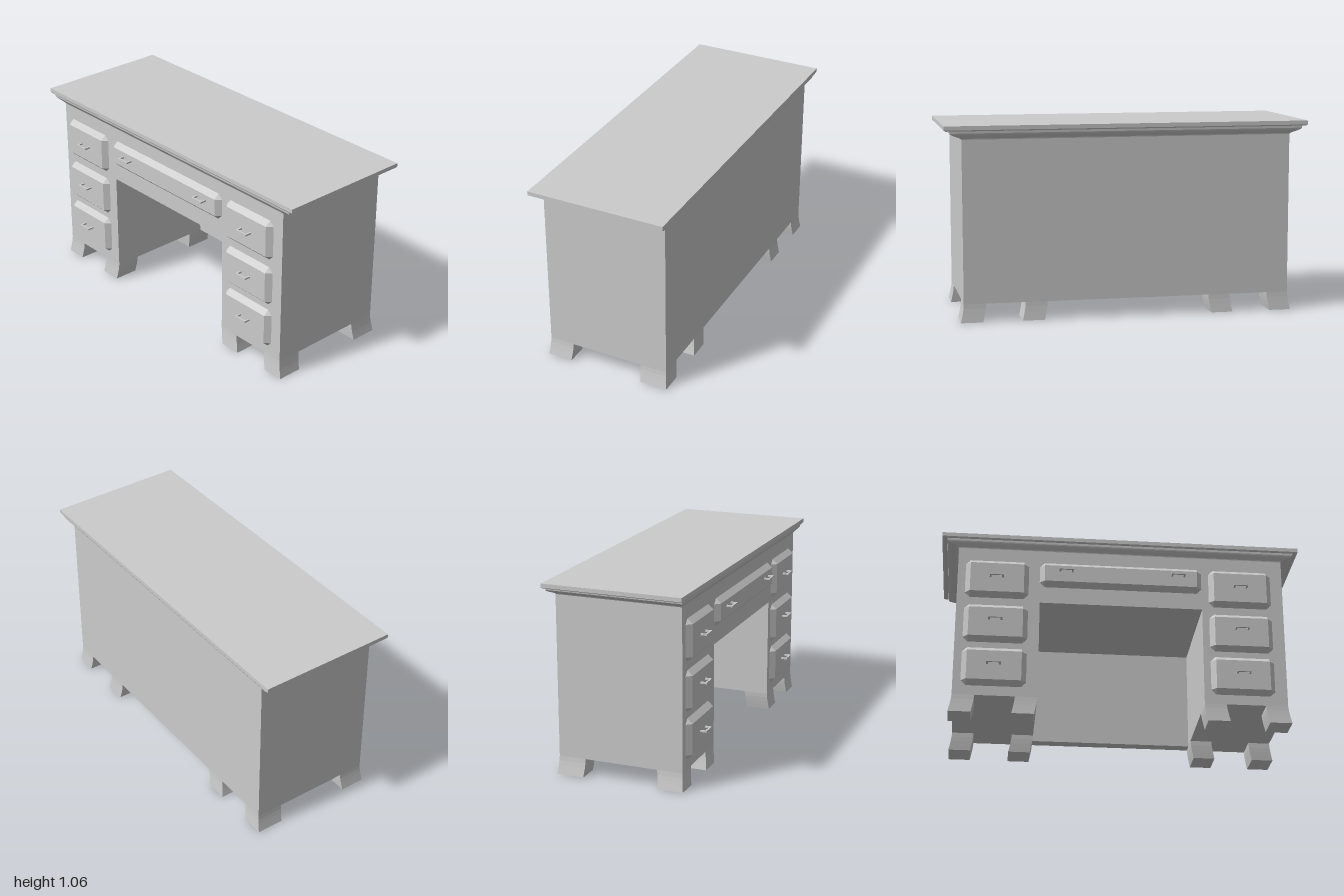
import * as THREE from 'three';

const material = new THREE.MeshStandardMaterial({ color: 0xcccccc, flatShading: true });

function add(parent, name, geometry, x = 0, y = 0, z = 0) {
  const mesh = new THREE.Mesh(geometry, material);
  mesh.name = name;
  mesh.position.set(x, y, z);
  parent.add(mesh);
  return mesh;
}

// Skin a closed solid through equal-sized rings, each counter-clockwise about the direction of travel
function loft(rings) {
  const pos = [];
  const tri = (...pts) => pts.forEach((p) => pos.push(...p));
  const n = rings[0].length;
  for (let i = 0; i < rings.length - 1; i++) {
    for (let j = 0; j < n; j++) {
      const k = (j + 1) % n;
      tri(rings[i][j], rings[i][k], rings[i + 1][k]);
      tri(rings[i][j], rings[i + 1][k], rings[i + 1][j]);
    }
  }
  const first = rings[0], last = rings[rings.length - 1];
  for (let j = 1; j < n - 1; j++) {
    tri(first[0], first[j + 1], first[j]);
    tri(last[0], last[j], last[j + 1]);
  }
  const geometry = new THREE.BufferGeometry();
  geometry.setAttribute('position', new THREE.Float32BufferAttribute(pos, 3));
  geometry.computeVertexNormals();
  return geometry;
}

// Horizontal rectangle ring
const rect = (x0, x1, z0, z1, y) => [[x1, y, z1], [x1, y, z0], [x0, y, z0], [x0, y, z1]];

// Upright rectangle ring with cut corners
function cutRect(w, h, c, z) {
  return [
    [w, -h + c, z], [w, h - c, z], [w - c, h, z], [-w + c, h, z],
    [-w, h - c, z], [-w, -h + c, z], [-w + c, -h, z], [w - c, -h, z],
  ];
}

const X = 0.905, FRONT = 0.335, BACK = -0.365, KNEE = 0.45, BASE = 0.1, TOP = 0.99;
const PANEL = 0.065;

function addHandle(parent, x, y, z) {
  const handle = new THREE.Group();
  handle.name = 'handle';
  handle.position.set(x, y, z);
  add(handle, 'handleBar', new THREE.BoxGeometry(0.078, 0.009, 0.01), 0, 0, 0.031);
  for (const s of [-1, 1]) {
    add(handle, 'handlePost', new THREE.BoxGeometry(0.01, 0.009, 0.028), s * 0.034, 0, 0.013);
  }
  parent.add(handle);
}

// Raised drawer front with bevelled edges and its handles
function addDrawer(parent, name, x0, x1, y0, y1, handles, handleY) {
  const drawer = new THREE.Group();
  drawer.name = name;
  const w = (x1 - x0) / 2, h = (y1 - y0) / 2, bevel = 0.027, depth = 0.029;
  add(drawer, 'drawerFront',
    loft([cutRect(w, h, bevel, 0), cutRect(w - bevel, h - bevel, 0, depth)]),
    (x0 + x1) / 2, (y0 + y1) / 2, FRONT);
  for (const hx of handles) addHandle(drawer, hx, handleY, FRONT + depth);
  parent.add(drawer);
}

export function createModel() {
  const desk = new THREE.Group();
  desk.name = 'desk';

  // Carcass: two pedestals joined over the knee space
  const outline = new THREE.Shape([
    [-X, BASE], [-KNEE, BASE], [-KNEE, 0.665], [KNEE, 0.665],
    [KNEE, BASE], [X, BASE], [X, TOP], [-X, TOP],
  ].map(([x, y]) => new THREE.Vector2(x, y)));
  add(desk, 'carcass',
    new THREE.ExtrudeGeometry(outline, { depth: FRONT - BACK - PANEL, bevelEnabled: false }),
    0, 0, BACK + PANEL);

  // Back panel closing the knee space
  add(desk, 'backPanel', new THREE.BoxGeometry(2 * X, TOP - BASE, PANEL),
    0, (TOP + BASE) / 2, BACK + PANEL / 2);

  // Moulding flaring out to the table top: [height, share of overhang]
  const overhang = (y, t) => rect(-X - 0.095 * t, X + 0.095 * t, BACK - 0.035 * t, FRONT + 0.035 * t, y);
  add(desk, 'moulding', loft([
    [0.985, 0], [0.99, 0.03], [0.998, 0.22], [1.006, 0.45], [1.014, 0.63], [1.02, 0.68], [1.034, 0.7],
  ].map(([y, t]) => overhang(y, t))));
  add(desk, 'tableTop', loft([
    [1.032, 0.88], [1.038, 1], [1.06, 1],
  ].map(([y, t]) => overhang(y, t))));

  // Flared feet, four under each pedestal: [height, flare]
  const flare = [[0, 1], [0.025, 0.68], [0.05, 0.38], [0.075, 0.14], [BASE, 0]];
  for (const side of [-1, 1]) {
    for (const [inner, outer] of [[KNEE, 0.57], [0.785, X]]) {
      for (const [z0, z1, dz] of [[0.195, FRONT, 0.009], [BACK, -0.213, -0.009]]) {
        add(desk, 'foot', loft(flare.map(([y, f]) => {
          const a = side * (inner + 0.017 * f), b = side * (outer + 0.017 * f);
          return rect(Math.min(a, b), Math.max(a, b), z0 + dz * f, z1 + dz * f, y);
        })));
      }
    }
  }

  // Drawers: three per pedestal and a wide one in the middle
  for (const [y0, y1, hy] of [[0.682, 0.91, 0.8], [0.412, 0.637, 0.54], [0.155, 0.378, 0.275]]) {
    addDrawer(desk, 'rightDrawer', -0.862, -0.513, y0, y1, [-0.69], hy);
    addDrawer(desk, 'leftDrawer', 0.488, 0.838, y0, y1, [0.663], hy);
  }
  addDrawer(desk, 'middleDrawer', -0.453, 0.448, 0.762, 0.912, [-0.308, 0.315], 0.852);

  return desk;
}
